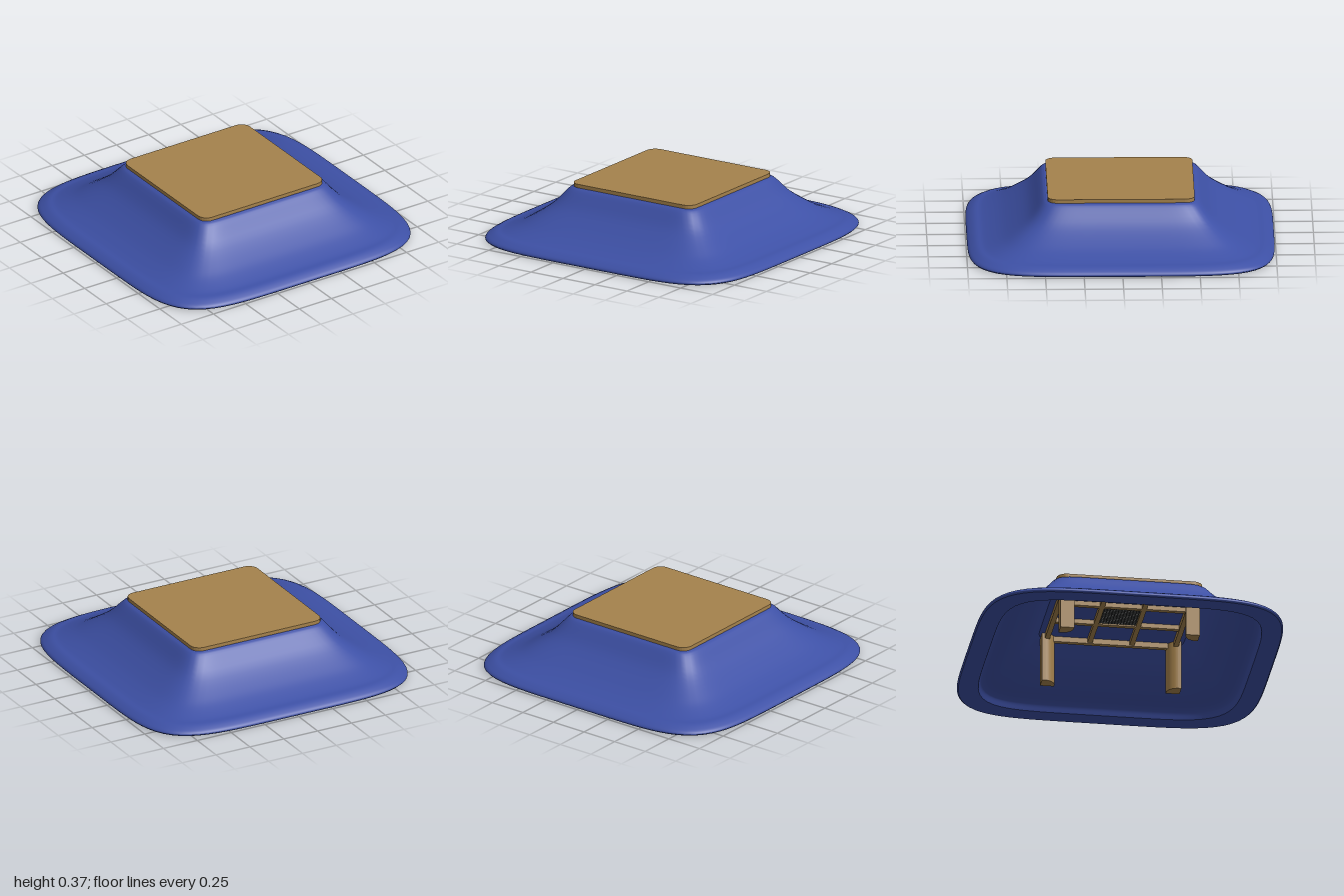
import * as THREE from 'three';
import { toCreasedNormals } from 'three/addons/utils/BufferGeometryUtils.js';

const SEGMENTS = 128;

// Rounded-square rings; each profile row is [half width, height, squareness]
function loftSquare(profile) {
  const positions = [], index = [];
  profile.forEach(([half, y, n], i) => {
    for (let j = 0; j < SEGMENTS; j++) {
      const a = (j / SEGMENTS) * Math.PI * 2;
      const c = Math.cos(a), s = Math.sin(a);
      const r = half / Math.pow(Math.abs(c) ** n + Math.abs(s) ** n, 1 / n);
      positions.push(r * c, y, r * s);
      if (i === 0) continue;
      const k = (j + 1) % SEGMENTS, p = (i - 1) * SEGMENTS, q = i * SEGMENTS;
      index.push(p + j, p + k, q + j, p + k, q + k, q + j);
    }
  });
  const g = new THREE.BufferGeometry();
  g.setAttribute('position', new THREE.Float32BufferAttribute(positions, 3));
  g.setIndex(index);
  g.computeVertexNormals();
  return g;
}

// Smooth curve through profile rows
function smooth(rows, count) {
  return new THREE.CatmullRomCurve3(rows.map((r) => new THREE.Vector3(...r)), false, 'centripetal')
    .getPoints(count).map((p) => p.toArray());
}

// Upright prism from a flat outline, standing on y = 0
function prism(shape, height, curveSegments) {
  const g = new THREE.ExtrudeGeometry(shape, { depth: height, bevelEnabled: false, curveSegments });
  return g.rotateX(-Math.PI / 2);
}

export function createModel() {
  const model = new THREE.Group();
  model.name = 'heatedTable';
  const blue = new THREE.MeshStandardMaterial({ color: 0x3d50a5 });
  blue.name = 'blue fabric';
  const wood = new THREE.MeshStandardMaterial({ color: 0xa5824c });
  wood.name = 'light wood';
  const dark = new THREE.MeshStandardMaterial({ color: 0x2a2c2e });
  dark.name = 'dark metal';

  const add = (name, geometry, material, parent = model) => {
    const mesh = new THREE.Mesh(geometry, material);
    mesh.name = name;
    parent.add(mesh);
    return mesh;
  };

  // Quilt: flared outside, flat hem, inner lining and ceiling
  const quilt = new THREE.Group();
  quilt.name = 'quilt';
  model.add(quilt);
  add('quiltTop', loftSquare([[0, 0.348, 12], [0.485, 0.348, 12]]), blue, quilt);
  add('quiltOutside', loftSquare(smooth([
    [0.485, 0.348, 12], [0.51, 0.332, 11], [0.6, 0.23, 9], [0.73, 0.138, 7],
    [0.81, 0.096, 6], [0.89, 0.065, 5.4], [0.96, 0.046, 5], [0.987, 0.028, 5],
    [0.994, 0.014, 5], [0.985, 0.003, 5],
  ], 40)), blue, quilt);
  add('quiltHem', loftSquare([[0.985, 0.003, 5], [0.86, 0.003, 5.4]]), blue, quilt);
  add('quiltLining', loftSquare(smooth([
    [0.86, 0.003, 5.4], [0.84, 0.045, 5.6], [0.72, 0.105, 7], [0.59, 0.195, 9],
    [0.5, 0.3, 11], [0.475, 0.335, 12],
  ], 30)), blue, quilt);
  add('quiltCeiling', loftSquare([[0.475, 0.335, 12], [0, 0.335, 12]]), blue, quilt);

  // Tabletop with clipped round corners
  const h = 0.475, r = 0.065;
  const top = new THREE.Shape();
  for (let k = 0; k < 4; k++) {
    const a = (k * Math.PI) / 2 + Math.PI / 4;
    const cx = Math.sign(Math.cos(a)) * (h - r), cy = Math.sign(Math.sin(a)) * (h - r);
    top.absarc(cx, cy, r, (k * Math.PI) / 2, ((k + 1) * Math.PI) / 2, false);
  }
  add('tabletop', prism(top, 0.026, 3), wood).position.y = 0.346;

  // Legs: square outside, rounded on the inner corner
  const w = 0.045, lr = 0.075;
  const section = new THREE.Shape();
  section.moveTo(-w, -w);
  section.lineTo(w, -w);
  section.lineTo(w, w);
  section.lineTo(-w + lr, w);
  section.absarc(-w + lr, w - lr, lr, Math.PI / 2, Math.PI, false);
  const legGeometry = toCreasedNormals(prism(section, 0.333, 10).translate(0.41, 0, 0.41), 0.6);
  for (let k = 0; k < 4; k++) {
    add('leg', legGeometry, wood).rotation.y = (k * Math.PI) / 2;
  }

  // Frame: outer rails and inner bars, in both directions
  const frame = new THREE.Group();
  frame.name = 'frame';
  model.add(frame);
  for (const turn of [0, Math.PI / 2]) {
    for (const z of [-0.42, -0.137, 0.137, 0.42]) {
      const outer = Math.abs(z) > 0.3;
      const g = new THREE.BoxGeometry(0.84, outer ? 0.036 : 0.03, 0.032);
      g.translate(0, outer ? 0.316 : 0.319, z).rotateY(turn);
      add(outer ? 'outerRail' : 'innerBar', g, wood, frame);
    }
  }

  // Heater grille in the middle cell
  const grille = new THREE.Group();
  grille.name = 'heaterGrille';
  model.add(grille);
  for (const turn of [0, Math.PI / 2]) {
    for (let i = -6; i <= 6; i++) {
      const g = new THREE.BoxGeometry(0.25, 0.006, 0.007);
      g.translate(0, 0.316, i * 0.019).rotateY(turn);
      add('grilleWire', g, dark, grille);
    }
  }
  return model;
}
